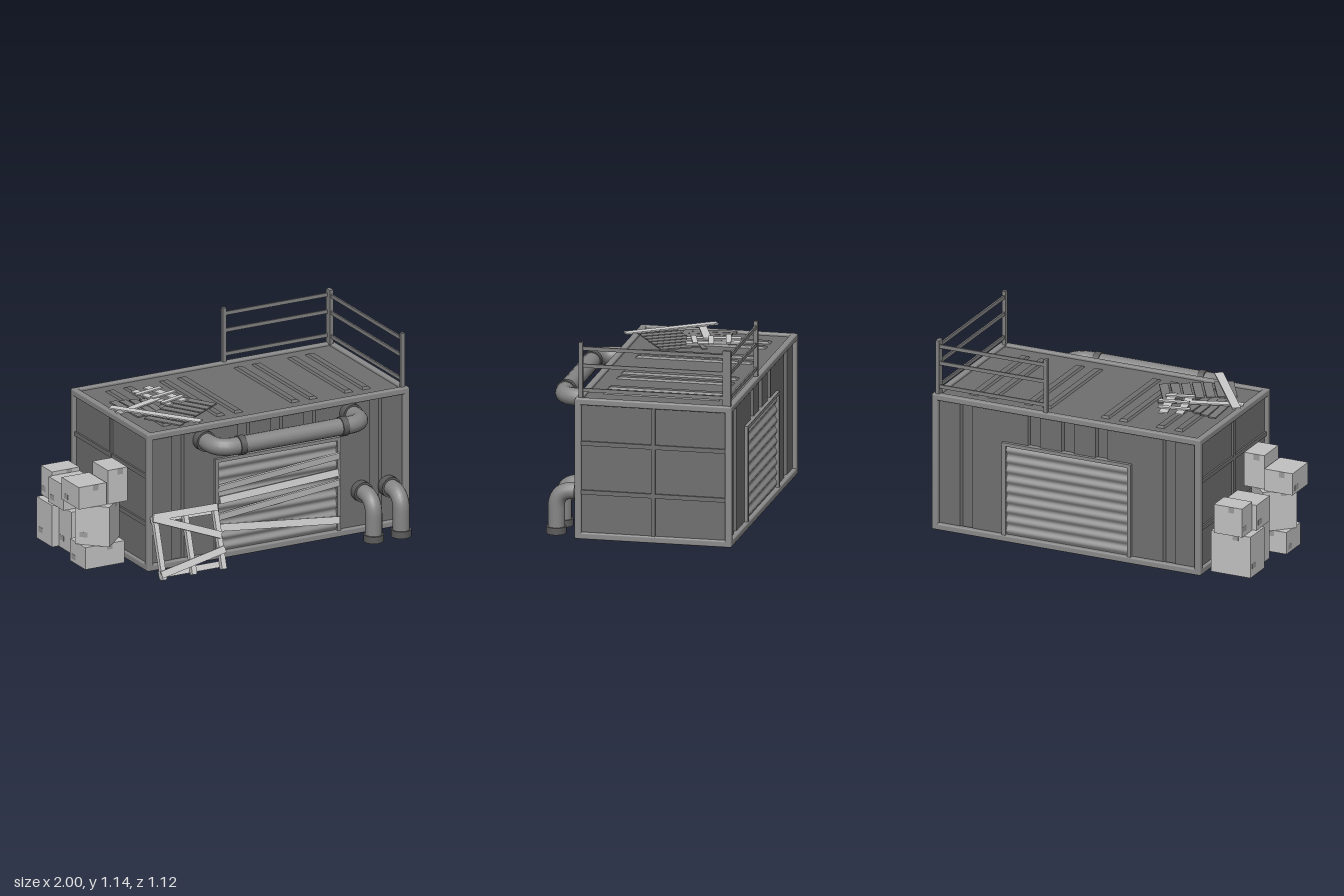
import * as THREE from 'three';
import { RoundedBoxGeometry } from 'three/addons/geometries/RoundedBoxGeometry.js';

const mat = (name, color, side = THREE.FrontSide) => {
  const m = new THREE.MeshStandardMaterial({ color, side });
  m.name = name;
  return m;
};
const M = {
  wall: mat('dark wall grey', 0x707070, THREE.DoubleSide),
  frame: mat('frame grey', 0x8b8b8b),
  shutter: mat('shutter grey', 0x949494, THREE.DoubleSide),
  pipe: mat('pipe grey', 0x868686),
  collar: mat('collar grey', 0x5c5c5c),
  rail: mat('rail grey', 0x828282),
  carton: mat('carton', 0xc2c2c2),
  tape: mat('carton tape', 0x9c9c9c),
  plank: mat('pale wood', 0xcccccc),
  oldWood: mat('weathered wood', 0x7c7c7c),
};
const V = (x, y, z) => new THREE.Vector3(x, y, z);

function add(parent, geo, m, name, x = 0, y = 0, z = 0) {
  const mesh = new THREE.Mesh(geo, m);
  mesh.name = name;
  mesh.position.set(x, y, z);
  parent.add(mesh);
  return mesh;
}
const box = (parent, w, h, d, m, name, x, y, z) =>
  add(parent, new THREE.BoxGeometry(w, h, d), m, name, x, y, z);
function group(parent, name, x = 0, y = 0, z = 0) {
  const g = new THREE.Group();
  g.name = name;
  g.position.set(x, y, z);
  parent.add(g);
  return g;
}

// Board from one point to another in the local xy plane
function board(parent, x1, y1, x2, y2, z, w, m = M.plank, t = 0.012) {
  const b = box(parent, Math.hypot(x2 - x1, y2 - y1), w, t, m, 'board', (x1 + x2) / 2, (y1 + y2) / 2, z);
  b.rotation.z = Math.atan2(y2 - y1, x2 - x1);
  return b;
}

const HX = 0.835, HZ = 0.45, Y0 = 0.015, Y1 = 0.827;

// Corrugated strip with upright grooves, spanning x0..x1 and y0..y1
function corrugated(parent, x0, x1, y0, y1) {
  const top = [];
  for (let k = -3; k <= 3; k++) {
    const c = k * 0.21;
    if (c - 0.04 < x0 || c + 0.04 > x1) continue;
    top.push([c - 0.038, 0], [c - 0.03, 0.02], [c + 0.03, 0.02], [c + 0.038, 0]);
  }
  const pts = [[x0, 0], ...top, [x1, 0], [x1, 0.026], [x0, 0.026]];
  const shape = new THREE.Shape(pts.map(([x, y]) => new THREE.Vector2(x, y)));
  const geo = new THREE.ExtrudeGeometry(shape, { depth: y1 - y0, bevelEnabled: false });
  geo.rotateX(-Math.PI / 2);
  add(parent, geo, M.wall, 'corrugatedPanel', 0, y0, HZ - 0.025);
}

// Long wall with a roller shutter in the middle
function longWall(parent, name) {
  const g = group(parent, name);
  corrugated(g, -HX + 0.03, -0.395, 0.045, 0.8);
  corrugated(g, 0.395, HX - 0.03, 0.045, 0.8);
  corrugated(g, -0.395, 0.395, 0.6, 0.8);
  const rim = new THREE.Shape();
  rim.moveTo(-0.4, 0.03).lineTo(0.4, 0.03).lineTo(0.4, 0.605).lineTo(-0.4, 0.605).closePath();
  const hole = new THREE.Path();
  hole.moveTo(-0.378, 0.05).lineTo(-0.378, 0.585).lineTo(0.378, 0.585).lineTo(0.378, 0.05).closePath();
  rim.holes.push(hole);
  add(g, new THREE.ExtrudeGeometry(rim, { depth: 0.035, bevelEnabled: false }), M.frame, 'shutterFrame', 0, 0, HZ - 0.04);
  const geo = new THREE.PlaneGeometry(0.76, 0.54, 1, 72);
  const p = geo.attributes.position;
  for (let i = 0; i < p.count; i++) p.setZ(i, 0.006 * Math.cos((p.getY(i) / 0.54) * 18 * Math.PI));
  geo.computeVertexNormals();
  add(g, geo, M.shutter, 'rollerShutter', 0, 0.318, HZ - 0.022);
  return g;
}

function container(root) {
  const g = group(root, 'container', 0.165, 0, -0.115);
  const T = 0.038, my = (Y0 + Y1) / 2;
  const beam = (w, h, d, x, y, z) => add(g, new RoundedBoxGeometry(w, h, d, 1, 0.008), M.frame, 'frameBeam', x, y, z);
  for (const s of [-1, 1]) {
    for (const y of [Y0 + T / 2, Y1 - T / 2]) {
      beam(2 * HX, T, T, 0, y, s * (HZ - T / 2));
      beam(T, T, 2 * HZ, s * (HX - T / 2), y, 0);
    }
    for (const x of [-1, 1]) beam(T, Y1 - Y0, T, x * (HX - T / 2), my, s * (HZ - T / 2));
    // End wall with crossbars
    const end = group(g, s > 0 ? 'rightEnd' : 'leftEnd');
    box(end, 0.012, 0.75, 0.84, M.wall, 'endPanel', s * (HX - 0.025), my, 0);
    for (const y of [0.285, 0.567]) box(end, 0.016, 0.025, 0.84, M.wall, 'crossbar', s * (HX - 0.016), y, 0);
    box(end, 0.016, 0.75, 0.024, M.wall, 'upright', s * (HX - 0.015), my, 0);
  }
  longWall(g, 'frontWall');
  longWall(g, 'backWall').rotation.y = Math.PI;
  // Roof sheet with tapered ribs
  box(g, 2 * HX - 0.06, 0.012, 2 * HZ - 0.06, M.wall, 'roof', 0, 0.806, 0);
  for (const c of [-0.588, -0.245, 0.23, 0.57]) for (const d of [-0.057, 0.057]) {
    const rib = new THREE.BoxGeometry(0.055, 0.012, 0.67);
    const p = rib.attributes.position;
    for (let i = 0; i < p.count; i++) if (p.getY(i) > 0) {
      p.setX(i, p.getX(i) * 0.65);
      p.setZ(i, p.getZ(i) * 0.95);
    }
    rib.computeVertexNormals();
    add(g, rib, M.wall, 'roofRib', c + d, 0.817, -0.005);
  }
}

// Round pipe through points, with rounded corners
function pipe(parent, pts, bend, r, segments) {
  const path = new THREE.CurvePath();
  let from = pts[0];
  for (let i = 1; i < pts.length - 1; i++) {
    const a = pts[i].clone().add(pts[i - 1].clone().sub(pts[i]).setLength(bend));
    const b = pts[i].clone().add(pts[i + 1].clone().sub(pts[i]).setLength(bend));
    path.add(new THREE.LineCurve3(from, a));
    path.add(new THREE.QuadraticBezierCurve3(a, pts[i], b));
    from = b;
  }
  path.add(new THREE.LineCurve3(from, pts[pts.length - 1]));
  add(parent, new THREE.TubeGeometry(path, segments, r, 16), M.pipe, 'pipe');
}
function collar(parent, x, y, z, axis, r, len) {
  const c = add(parent, new THREE.CylinderGeometry(r, r, len, 20), M.collar, 'pipeCollar', x, y, z);
  if (axis === 'x') c.rotation.z = Math.PI / 2;
  if (axis === 'z') c.rotation.x = Math.PI / 2;
}

function pipes(root) {
  const up = group(root, 'upperPipe'), y = 0.735;
  pipe(up, [V(-0.31, y, 0.3), V(-0.31, y, 0.5), V(0.625, y, 0.5), V(0.625, y, 0.3)], 0.11, 0.05, 60);
  for (const x of [-0.31, 0.625]) collar(up, x, y, 0.335, 'z', 0.06, 0.05);
  for (const x of [-0.17, 0.48]) collar(up, x, y, 0.5, 'x', 0.056, 0.038);
  for (const x of [0.697, 0.872]) {
    const g = group(root, 'lowerPipe');
    pipe(g, [V(x, 0.26, 0.3), V(x, 0.26, 0.467), V(x, 0.012, 0.467)], 0.1, 0.048, 24);
    collar(g, x, 0.26, 0.33, 'z', 0.06, 0.05);
    collar(g, x, 0.03, 0.467, 'y', 0.057, 0.04);
  }
}

function railing(root) {
  const g = group(root, 'railing');
  for (const [x, z] of [[0.297, -0.545], [0.967, -0.545], [0.967, -0.522], [0.967, 0.304]])
    box(g, 0.023, 0.325, 0.023, M.rail, 'railPost', x, 0.982, z);
  for (const y of [0.87, 1.01, 1.11]) {
    box(g, 0.68, 0.021, 0.01, M.rail, 'backRail', 0.637, y, -0.545);
    box(g, 0.01, 0.021, 0.83, M.rail, 'sideRail', 0.967, y, -0.109);
  }
}

function timber(root) {
  // Boards nailed across the front shutter
  const cover = group(root, 'shutterBoards', 0, 0, 0.338);
  for (const [a, b, tilt] of [[0.43, 0.505, 0.25], [0.365, 0.4, -0.2], [0.262, 0.345, 0.2], [0.2, 0.12, -0.25]])
    board(cover, -0.215, a, 0.545, b, 0, 0.042).rotation.x = tilt;

  // Broken pallet leaning on the front
  const lean = group(root, 'leaningPallet', 0, 0.012, 0.485);
  lean.rotation.x = -0.34;
  for (const x of [-0.652, -0.46, -0.27]) board(lean, x, 0, x + 0.006, 0.36, 0, 0.03, M.plank, 0.03);
  board(lean, -0.665, 0.355, -0.255, 0.35, 0.02, 0.04);
  board(lean, -0.665, 0.35, -0.26, 0.19, 0.022, 0.04);
  board(lean, -0.67, 0.03, -0.25, 0.11, 0.02, 0.04);
  board(lean, -0.665, 0.03, -0.25, 0.03, -0.02, 0.035);
  board(lean, -0.66, 0.34, -0.25, 0.33, -0.02, 0.035);

  // Scrap lying on the roof, laid out in a flat plane
  const scrap = group(root, 'roofScrap', 0, 0.83, 0);
  scrap.rotation.x = -Math.PI / 2;
  for (let i = 0; i < 7; i++) {
    const x = -0.43 + i * 0.052, y = -0.3 + i * 0.033;
    board(scrap, x, y, x - 0.12, y + 0.2, 0.008, 0.05, M.oldWood, 0.008);
  }
  for (let i = 0; i < 4; i++)
    board(scrap, -0.58 + i * 0.055, 0.235 - i * 0.015, -0.56 + i * 0.045, -0.06, 0.003, 0.045, M.oldWood, 0.008);
  board(scrap, -0.53, -0.05, -0.2, 0.14, 0.0, 0.03, M.oldWood, 0.008);
  for (const [x1, y1, x2, y2, z, w] of [
    [-0.41, 0.3, -0.34, 0.0, 0.018, 0.045], [-0.32, 0.32, -0.24, 0.02, 0.018, 0.05],
    [-0.44, 0.22, -0.26, 0.26, 0.026, 0.03], [-0.39, 0.13, -0.22, 0.17, 0.026, 0.03],
    [-0.38, 0.03, -0.22, 0.08, 0.026, 0.03],
    [-0.67, 0.01, -0.35, 0.12, 0.02, 0.045], [-0.67, 0.1, -0.34, -0.35, 0.028, 0.05],
  ]) board(scrap, x1, y1, x2, y2, z, w, M.plank, 0.008);
}

// Stacked cartons beside the left end: x, z, width, depth, bottom, top, turn
function cartons(root) {
  const g = group(root, 'cartons');
  for (const [x, z, w, d, y0, y1, turn] of [
    [-0.83, 0.04, 0.25, 0.18, 0.015, 0.145, 0],
    [-0.832, 0.045, 0.2, 0.2, 0.145, 0.38, 0.78],
    [-0.912, 0.035, 0.175, 0.2, 0.38, 0.51, 0],
    [-0.752, 0.045, 0.125, 0.18, 0.38, 0.58, 0],
    [-0.813, -0.38, 0.245, 0.18, 0.015, 0.26, 0],
    [-0.805, -0.215, 0.18, 0.145, 0.015, 0.26, 0],
    [-0.808, -0.43, 0.175, 0.13, 0.26, 0.43, 0],
    [-0.82, -0.275, 0.2, 0.17, 0.26, 0.41, 0],
  ]) {
    const h = y1 - y0;
    const c = group(g, 'carton', x, y0 + h / 2, z);
    c.rotation.y = turn;
    box(c, w, h, d, M.carton, 'cartonBody', 0, 0, 0);
    for (const s of [-1, 1]) {
      box(c, 0.035, 0.035, 0.002, M.tape, 'tapeEnd', s * w * 0.12, h / 2 - 0.0175, s * d / 2);
      box(c, 0.002, 0.03, 0.045, M.tape, 'label', s * w / 2, -h * 0.25, s * d * 0.25);
    }
  }
}

export function createModel() {
  const root = new THREE.Group();
  root.name = 'storageContainer';
  container(root);
  pipes(root);
  railing(root);
  timber(root);
  cartons(root);
  return root;
}
